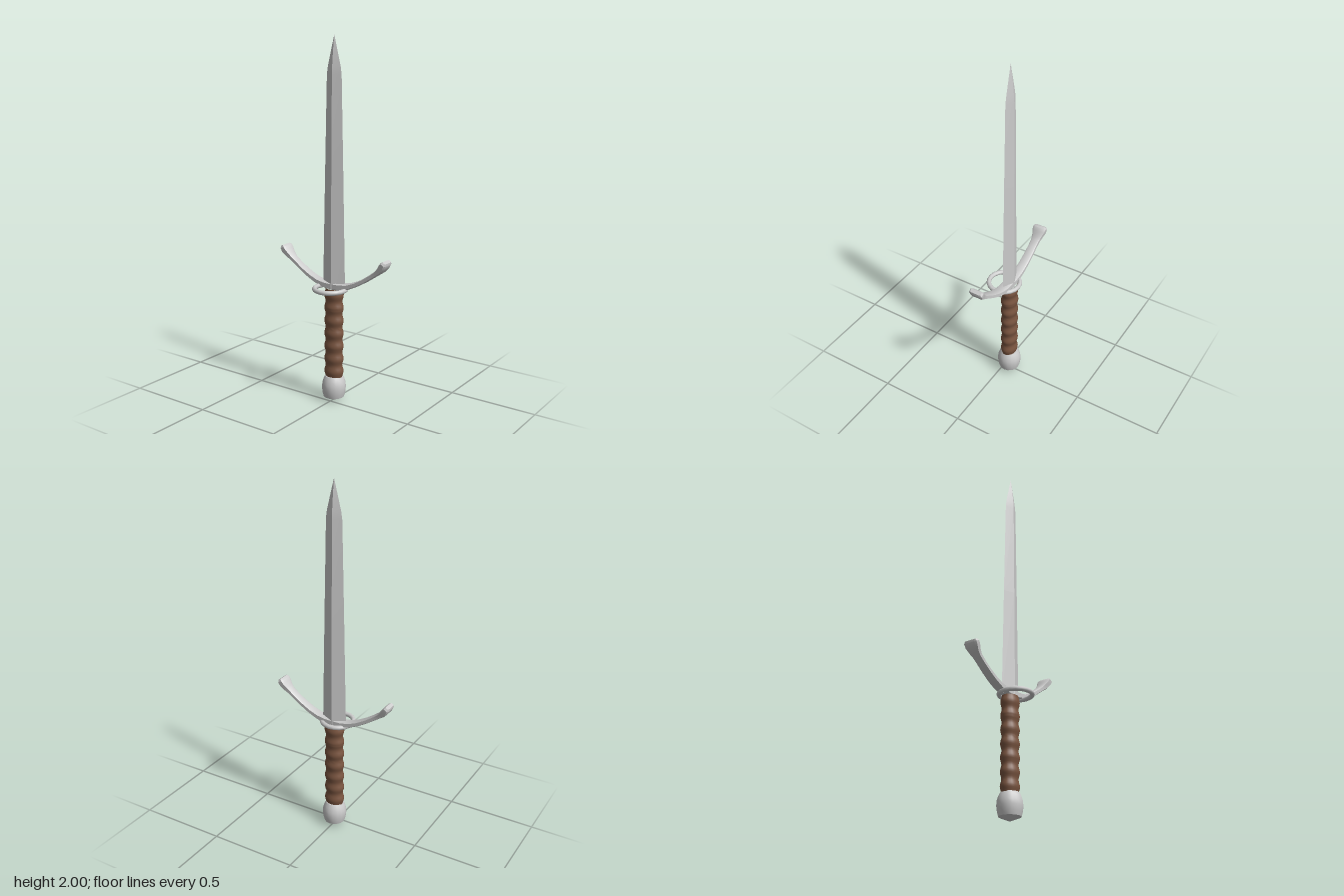
import * as THREE from 'three';
import { toCreasedNormals, mergeVertices } from 'three/addons/utils/BufferGeometryUtils.js';

const AXIS_Z = -0.035; // blade, grip and pommel sit slightly behind the ring centre

// Skins cross-sections along a path in the xy plane.
// Each station is [x, y, half thickness in plane, half depth in z].
function loft(stations, sides, power, turn, crease) {
  const pos = [], index = [];
  const bulge = (v) => Math.sign(v) * Math.pow(Math.abs(v), power);
  stations.forEach(([x, y, a, b], i) => {
    const p = stations[Math.max(i - 1, 0)];
    const n = stations[Math.min(i + 1, stations.length - 1)];
    const t = new THREE.Vector2(n[0] - p[0], n[1] - p[1]).normalize();
    for (let j = 0; j < sides; j++) {
      const ang = turn + (j / sides) * Math.PI * 2;
      const u = a * bulge(Math.cos(ang));
      pos.push(x + t.y * u, y - t.x * u, b * bulge(Math.sin(ang)));
    }
  });
  const last = stations.length - 1;
  for (let i = 0; i < last; i++) {
    for (let j = 0; j < sides; j++) {
      const a = i * sides + j, b = i * sides + ((j + 1) % sides);
      index.push(a, a + sides, b, b, a + sides, b + sides);
    }
  }
  // end caps
  for (let j = 1; j < sides - 1; j++) {
    index.push(0, j, j + 1);
    index.push(last * sides, last * sides + j + 1, last * sides + j);
  }
  const geo = new THREE.BufferGeometry();
  geo.setAttribute('position', new THREE.Float32BufferAttribute(pos, 3));
  geo.setIndex(index);
  return toCreasedNormals(geo, crease);
}

function lathe(points, segments, crease) {
  const geo = new THREE.LatheGeometry(points.map(([r, y]) => new THREE.Vector2(r, y)), segments);
  geo.deleteAttribute('uv');
  geo.deleteAttribute('normal');
  return toCreasedNormals(mergeVertices(geo), crease);
}

export function createModel() {
  const model = new THREE.Group();
  model.name = 'dagger';
  const steel = new THREE.MeshStandardMaterial({ color: 0xcccccc });
  const leather = new THREE.MeshStandardMaterial({ color: 0x7a5540 });

  const add = (name, geo, mat, z = AXIS_Z) => {
    const mesh = new THREE.Mesh(geo, mat);
    mesh.name = name;
    mesh.position.z = z;
    model.add(mesh);
    return mesh;
  };

  // Diamond-section blade tapering to a point
  add('blade', loft([
    [0, 0.65, 0.073, 0.031],
    [0, 1.25, 0.06, 0.026],
    [0, 1.8, 0.047, 0.021],
    [0, 1.84, 0.041, 0.019],
    [0, 1.92, 0.021, 0.011],
    [0, 2.0, 0.0005, 0.0005],
  ], 4, 1, 0, 0.2), steel);

  // Upswept crossguard with flared ends, one arm mirrored to the other side
  const arm = [
    [0, 0.664, 0.02, 0.03],
    [0.05, 0.666, 0.018, 0.029],
    [0.1, 0.676, 0.015, 0.027],
    [0.15, 0.697, 0.013, 0.026],
    [0.2, 0.725, 0.012, 0.025],
    [0.245, 0.755, 0.012, 0.024],
    [0.28, 0.78, 0.013, 0.025],
    [0.302, 0.799, 0.017, 0.031],
    [0.319, 0.82, 0.019, 0.039],
    [0.33, 0.838, 0.017, 0.041],
    [0.336, 0.848, 0.01, 0.033],
  ];
  const mirrored = arm.slice(1).reverse().map(([x, y, a, b]) => [-x, y, a, b]);
  add('crossguard', loft([...mirrored, ...arm], 8, 0.4, Math.PI / 8, 0.6), steel);

  // Finger ring lying flat in front of the guard
  const ring = add('guardRing', new THREE.TorusGeometry(0.087, 0.013, 10, 20), steel, 0);
  ring.rotation.x = Math.PI / 2;
  ring.position.y = 0.654;

  // Oval grip with seven soft swells
  const swells = 7, steps = 56, grip = [];
  for (let i = 0; i <= steps; i++) {
    const t = i / steps;
    const wave = 0.5 - 0.5 * Math.cos(t * swells * Math.PI * 2);
    grip.push([0.049 + 0.008 * wave, 0.135 + 0.515 * t]);
  }
  add('grip', lathe(grip, 20, 1.2), leather).scale.z = 0.82;

  // Rounded pommel with a shallow conical base
  add('pommel', lathe([
    [0, 0], [0.058, 0.023], [0.064, 0.045], [0.068, 0.075],
    [0.066, 0.1], [0.058, 0.125], [0.048, 0.143], [0, 0.146],
  ], 16, 0.7), steel);

  return model;
}
